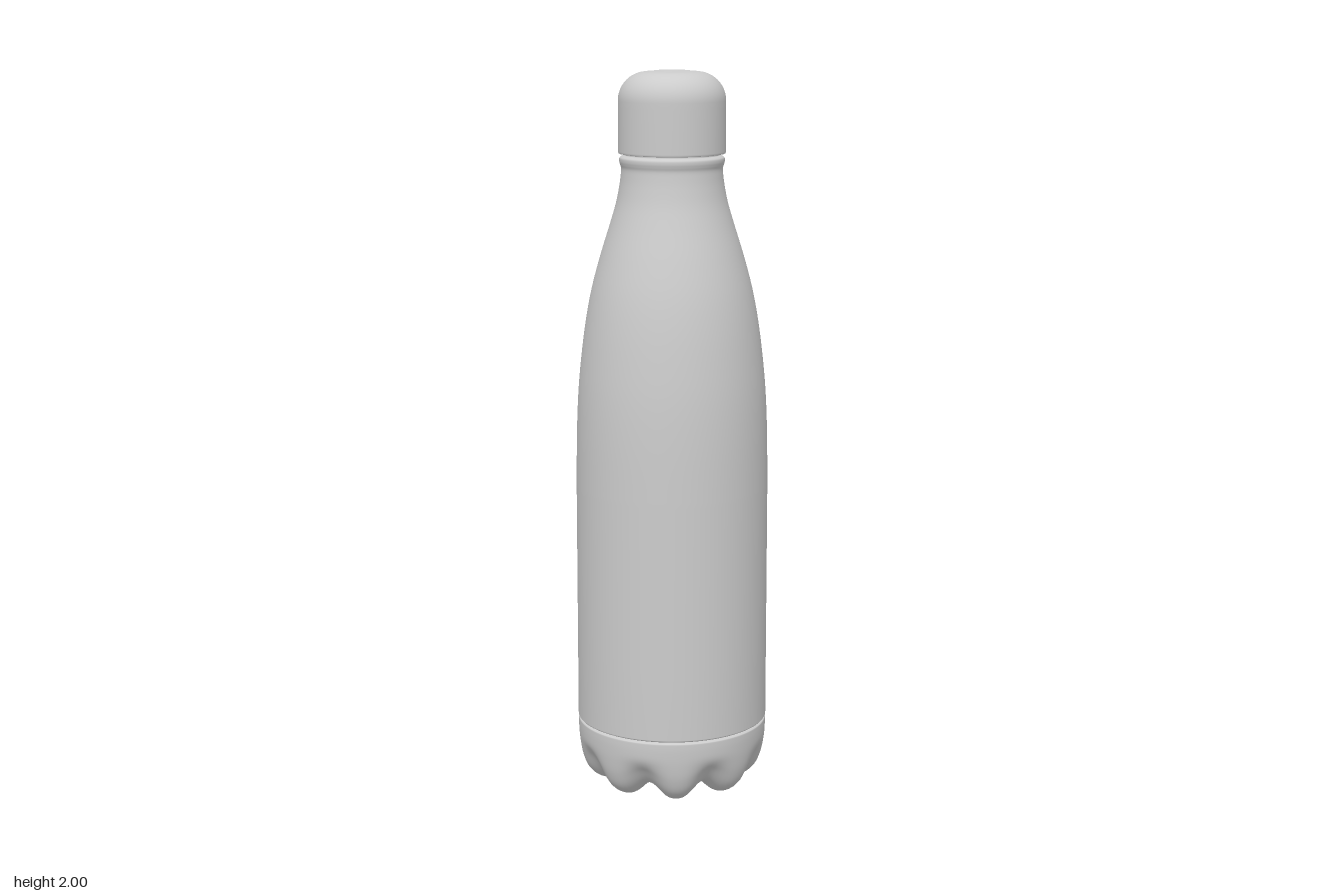
import * as THREE from 'three';
import { mergeVertices } from 'three/addons/utils/BufferGeometryUtils.js';

const SEGMENTS = 128;
const LOBES = 8;
const material = new THREE.MeshStandardMaterial({ color: 0xcccccc });
const toPoints = (pairs) => pairs.map(([r, y]) => new THREE.Vector2(r, y));

function addMesh(group, name, geometry) {
  const mesh = new THREE.Mesh(geometry, material);
  mesh.name = name;
  group.add(mesh);
}

// Smooth curve through a few profile points
const smooth = (pairs, n) => new THREE.SplineCurve(toPoints(pairs)).getPoints(n);

// Lobed base: a turned cup whose underside is lifted along radial valleys
function lobedBase() {
  const profile = [
    ...smooth([
      [0, 0.05], [0.05, 0.045], [0.1, 0.028], [0.14, 0.01], [0.175, 0.001], [0.21, 0.01],
      [0.238, 0.036], [0.254, 0.075], [0.262, 0.12], [0.265, 0.16], [0.265, 0.184],
    ], 50),
    ...toPoints([[0.2645, 0.1865], [0.259, 0.189], [0.25, 0.19]]),
  ];
  const lathe = new THREE.LatheGeometry(profile, SEGMENTS);
  lathe.deleteAttribute('uv');
  lathe.deleteAttribute('normal');
  const pos = lathe.attributes.position;
  for (let i = 0; i < pos.count; i++) {
    const x = pos.getX(i), y = pos.getY(i), z = pos.getZ(i);
    const r = Math.hypot(x, z);
    const valley = (0.5 - 0.5 * Math.cos(LOBES * Math.atan2(x, z))) ** 1.3;
    const fade = 1 - THREE.MathUtils.smoothstep(y, 0.03, 0.15);
    const lift = valley * fade * THREE.MathUtils.smoothstep(r, 0.0, 0.19);
    const pinch = 1 - 0.06 * lift;
    pos.setXYZ(i, x * pinch, y + 0.04 * lift, z * pinch);
  }
  const geometry = mergeVertices(lathe, 1e-5);
  geometry.computeVertexNormals();
  return geometry;
}

export function createModel() {
  const bottle = new THREE.Group();
  bottle.name = 'bottle';

  addMesh(bottle, 'base', lobedBase());

  // Body: straight wall, long shoulder, neck with a rolled rim
  const body = [
    ...toPoints([[0.25, 0.19], [0.259, 0.191], [0.2645, 0.1935], [0.266, 0.197], [0.266, 0.4], [0.266, 0.7]]),
    ...smooth([
      [0.266, 0.85], [0.264, 1.0], [0.259, 1.12], [0.25, 1.22], [0.237, 1.32], [0.22, 1.41],
      [0.196, 1.5], [0.168, 1.59], [0.152, 1.645], [0.143, 1.69], [0.139, 1.72],
      [0.138, 1.737], [0.141, 1.748], [0.143, 1.757], [0.142, 1.766], [0.135, 1.771],
    ], 90),
    ...toPoints([[0.13, 1.772], [0.129, 1.774], [0.129, 1.8]]),
  ];
  addMesh(bottle, 'body', new THREE.LatheGeometry(body, SEGMENTS));

  // Cap: cylinder with a generously rounded top edge
  const cap = toPoints([[0.12, 1.777], [0.142, 1.777], [0.1445, 1.7775], [0.1455, 1.779], [0.146, 1.783], [0.146, 1.9]]);
  for (let i = 0; i <= 16; i++) {
    const a = (i / 16) * Math.PI / 2;
    cap.push(new THREE.Vector2(0.068 + 0.078 * Math.cos(a), 1.918 + 0.078 * Math.sin(a)));
  }
  cap.push(...toPoints([[0.04, 1.999], [0, 2]]));
  addMesh(bottle, 'cap', new THREE.LatheGeometry(cap, SEGMENTS));

  return bottle;
}
